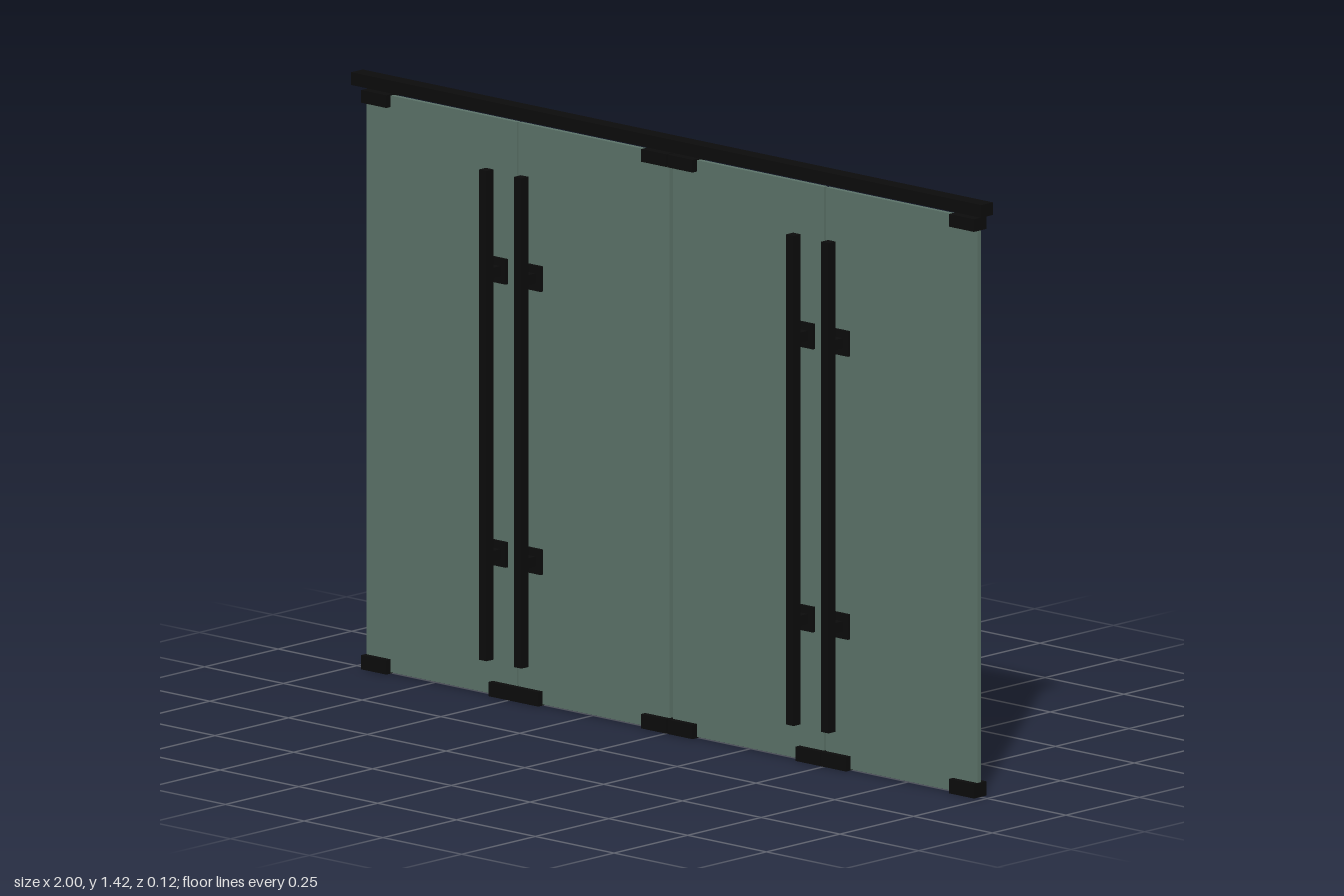
import * as THREE from 'three';

export function createModel() {
  const model = new THREE.Group();
  model.name = 'glassDoorPartition';
  const glass = new THREE.MeshStandardMaterial({ color: 0x5b7268 });
  const black = new THREE.MeshStandardMaterial({ color: 0x0b0b0b });

  // Box given by its extents along x and y, its depth and its centre in z
  function box(parent, name, material, [x0, x1], [y0, y1], depth, z = 0) {
    const mesh = new THREE.Mesh(new THREE.BoxGeometry(x1 - x0, y1 - y0, depth), material);
    mesh.position.set((x0 + x1) / 2, (y0 + y1) / 2, z);
    mesh.name = name;
    parent.add(mesh);
  }

  // Top rail
  box(model, 'topRail', black, [-1, 1], [1.386, 1.416], 0.04);

  // Four glass leaves with corner patch fittings
  const clampLength = 0.08;
  const leaves = [
    { x: [-0.964, -0.486], top: ['left'] },
    { x: [-0.482, -0.002], top: ['right'] },
    { x: [0.008, 0.488], top: ['left'] },
    { x: [0.495, 0.975], top: ['right'] },
  ];
  for (const { x: [x0, x1], top } of leaves) {
    const leaf = new THREE.Group();
    leaf.name = 'doorLeaf';
    model.add(leaf);
    box(leaf, 'glassPanel', glass, [x0, x1], [0.003, 1.376], 0.012);
    const spans = {
      left: [x0 - 0.003, x0 + clampLength - 0.003],
      right: [x1 - clampLength + 0.003, x1 + 0.003],
    };
    for (const span of Object.values(spans)) box(leaf, 'bottomClamp', black, span, [0, 0.034], 0.042);
    for (const side of top) box(leaf, 'topClamp', black, spans[side], [1.349, 1.379], 0.042);
  }

  // Pull handles: a bar on each face, joined by standoffs through clamp plates
  for (const x of [-0.543, -0.432, 0.432, 0.543]) {
    const handle = new THREE.Group();
    handle.name = 'pullHandle';
    model.add(handle);
    const around = (c, half) => [c - half, c + half];
    for (const z of [-0.05, 0.05]) {
      box(handle, 'handleBar', black, around(x, 0.012), [0.095, 1.262], 0.024, z);
    }
    for (const y of [0.342, 1.016]) {
      box(handle, 'clampPlate', black, around(x, 0.028), around(y, 0.03), 0.028);
      box(handle, 'standoff', black, around(x, 0.012), around(y, 0.012), 0.09);
    }
  }
  return model;
}
